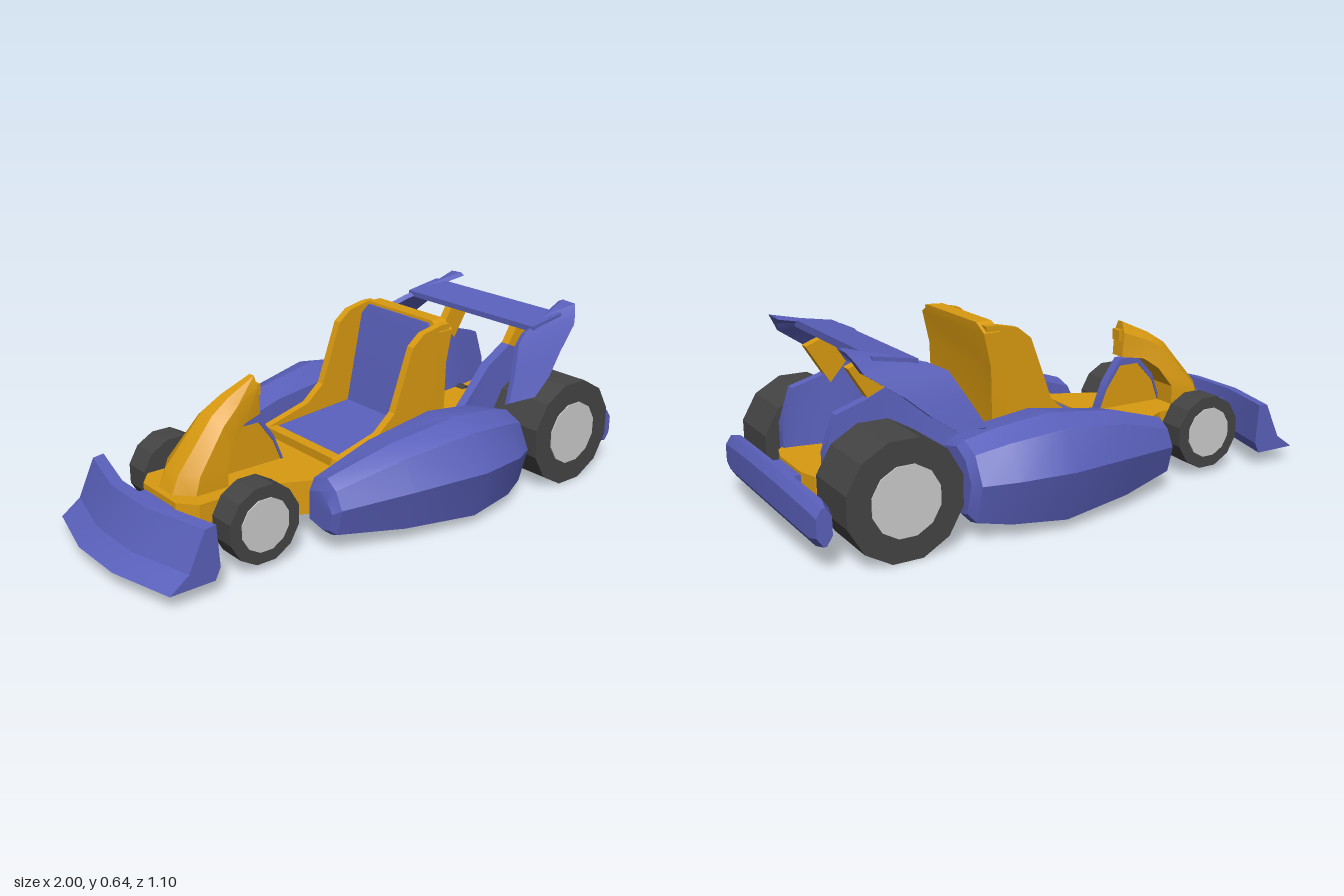
import * as THREE from 'three';
import { toCreasedNormals } from 'three/addons/utils/BufferGeometryUtils.js';

const mat = (color) => new THREE.MeshStandardMaterial({ color });
const yellow = mat(0xd99a10), purple = mat(0x5a60bb), rubber = mat(0x444444), grey = mat(0xcccccc);

// Skins a row of equal-sized closed cross-sections and caps both ends.
function loft(sections) {
  const n = sections[0].length, last = sections.length - 1, tris = [];
  const centre = (s) => [0, 1, 2].map((k) => s.reduce((a, p) => a + p[k], 0) / n);
  const c0 = centre(sections[0]), c1 = centre(sections[last]);
  for (let j = 0; j < n; j++) {
    const k = (j + 1) % n;
    for (let i = 0; i < last; i++) {
      const a = sections[i], b = sections[i + 1];
      tris.push([a[j], a[k], b[k]], [a[j], b[k], b[j]]);
    }
    tris.push([c0, sections[0][k], sections[0][j]], [c1, sections[last][j], sections[last][k]]);
  }
  // Signed volume tells whether the faces point outwards.
  const v = tris.map((t) => t.map((p) => new THREE.Vector3(...p)));
  const volume = v.reduce((s, [a, b, c]) => s + a.dot(b.clone().cross(c)), 0);
  const flat = tris.flatMap((t) => (volume < 0 ? [t[0], t[2], t[1]] : t)).flat();
  const g = new THREE.BufferGeometry();
  g.setAttribute('position', new THREE.Float32BufferAttribute(flat, 3));
  return toCreasedNormals(g, 0.45);
}

// Side outline (x, y) with thickness from z0 to z1.
function plate(points, z0, z1) {
  const shape = new THREE.Shape(points.map((p) => new THREE.Vector2(...p)));
  return new THREE.ExtrudeGeometry(shape, { depth: z1 - z0, bevelEnabled: false }).translate(0, 0, z0);
}

function box(x0, x1, y0, y1, z0, z1) {
  return new THREE.BoxGeometry(x1 - x0, y1 - y0, z1 - z0)
    .translate((x0 + x1) / 2, (y0 + y1) / 2, (z0 + z1) / 2);
}

export function createModel() {
  const kart = new THREE.Group();
  kart.name = 'kart';
  const add = (name, geometry, material) => {
    const m = new THREE.Mesh(geometry, material);
    m.name = name;
    kart.add(m);
    return m;
  };
  const flip = (sections, s) => sections.map((r) => r.map(([x, y, z]) => [x, y, z * s]));

  // Floor pan
  const half = [[-0.76, 0.1], [-0.71, 0.16], [-0.46, 0.16], [-0.26, 0.26], [0.28, 0.26],
    [0.52, 0.2], [0.84, 0.2], [0.88, 0.16], [0.9, 0.09]];
  const outline = [...half, ...half.map(([x, z]) => [x, -z]).reverse()];
  add('floorPan', plate(outline, 0, 0.12).rotateX(Math.PI / 2).translate(0, 0.22, 0), yellow);

  // Front bumper: one wedge profile, swept back towards its ends
  const wedge = [[-1, 0.06], [-0.93, 0.11], [-0.87, 0.24], [-0.83, 0.245], [-0.82, 0.1], [-0.84, 0.06]];
  add('frontBumper', loft([[-0.35, 0.06], [-0.11, 0], [0.11, 0], [0.35, 0.06]]
    .map(([z, d]) => wedge.map(([x, y]) => [x + d, y, z]))), purple);
  add('frontBumperMount', box(-0.84, -0.74, 0.12, 0.2, -0.09, 0.09), purple);

  // Rear bumper: [z, x front, x back, y low, y high]
  add('rearBumper', loft([[-0.41, 0.93, 0.98, 0.095, 0.215], [-0.36, 0.92, 0.985, 0.083, 0.225],
    [-0.15, 0.94, 1, 0.1, 0.247], [0.15, 0.94, 1, 0.1, 0.247],
    [0.36, 0.92, 0.985, 0.083, 0.225], [0.41, 0.93, 0.98, 0.095, 0.215]]
    .map(([z, a, b, lo, hi]) => [[a, lo + 0.03, z], [a + 0.02, lo, z], [b - 0.02, lo, z], [b, lo + 0.03, z],
      [b, hi - 0.03, z], [b - 0.02, hi, z], [a + 0.02, hi, z], [a, hi - 0.03, z]])), purple);
  add('rearBumperMount', box(0.88, 0.96, 0.13, 0.21, -0.09, 0.09), purple);

  // Steering fairing: [outer x, outer y, inner x, inner y, half width]
  add('steeringFairing', loft([[-0.74, 0.21, -0.56, 0.21, 0.1], [-0.71, 0.28, -0.56, 0.29, 0.1],
    [-0.57, 0.445, -0.515, 0.36, 0.075], [-0.5, 0.49, -0.46, 0.4, 0.055], [-0.39, 0.54, -0.38, 0.41, 0.03]]
    .map(([xo, yo, xi, yi, w]) => {
      const mx = xo * 0.7 + xi * 0.3, my = yo * 0.7 + yi * 0.3;
      return [[xo, yo, -w * 0.4], [mx, my, -w], [xi, yi, -w], [xi, yi, w], [mx, my, w], [xo, yo, w * 0.4]];
    })), yellow);
  add('fairingKnob', box(-0.39, -0.37, 0.47, 0.51, -0.02, 0.02), yellow);

  // Thin fin under the fairing with a coloured rim
  const arch = [[-0.57, 0.2], [-0.53, 0.31], [-0.46, 0.385], [-0.38, 0.385], [-0.32, 0.3], [-0.28, 0.2]];
  add('steeringFin', plate(arch, -0.015, 0.015), yellow);
  add('finRim', loft(arch.map(([x, y]) => [[x, y - 0.01, -0.018], [x, y + 0.015, -0.018],
    [x, y + 0.015, 0.018], [x, y - 0.01, 0.018]])), purple);

  // Seat shell: bucket sides, backrest and front lip
  const side = [[-0.22, 0.2], [-0.2, 0.25], [-0.02, 0.3], [0.05, 0.36], [0.13, 0.58], [0.18, 0.62],
    [0.26, 0.637], [0.3, 0.637], [0.28, 0.5], [0.27, 0.2]];
  for (const s of [1, -1]) {
    add('seatSide', plate(side, s > 0 ? 0.185 : -0.215, s > 0 ? 0.215 : -0.185), yellow);
  }
  add('seatBack', loft([[0.2, 0.19, 0.28, 0.215], [0.5, 0.24, 0.285, 0.218], [0.615, 0.25, 0.31, 0.218],
    [0.645, 0.255, 0.312, 0.17]]
    .map(([y, a, b, w]) => [[a, y, -w], [b, y, -w], [b, y, w], [a, y, w]])), yellow);
  add('seatLip', box(-0.2, -0.16, 0.2, 0.25, -0.19, 0.19), yellow);

  // Seat lining
  add('seatCushion', loft([[-0.165, 0.245], [0.18, 0.275]].map(([x, y]) =>
    [[x, 0.2, -0.187], [x, y, -0.187], [x, y, 0.187], [x, 0.2, 0.187]])), purple);
  add('seatBackLining', loft([[0.26, 0.165, 0.185], [0.6, 0.235, 0.185], [0.635, 0.245, 0.16]].map(([y, x, w]) =>
    [[x, y, -w], [x + 0.04, y, -w], [x + 0.04, y, w], [x, y, w]])), purple);

  for (const s of [1, -1]) {
    // Side pod: [x, y low, y high, outer z]
    add('sidePod', loft(flip([[-0.35, 0.085, 0.22, 0.375], [-0.33, 0.07, 0.262, 0.4], [-0.1, 0.05, 0.335, 0.49],
      [0.17, 0.035, 0.375, 0.55], [0.36, 0.05, 0.352, 0.52], [0.46, 0.06, 0.32, 0.465], [0.48, 0.085, 0.3, 0.43]]
      .map(([x, lo, hi, z]) => {
        const mid = lo + (hi - lo) * 0.54, w = z - 0.26;
        return [[x, lo + 0.015, 0.255], [x, hi - 0.02, 0.255], [x, hi, 0.26 + w * 0.45],
          [x, hi - 0.03, 0.26 + w * 0.78], [x, mid, z], [x, lo + 0.01, z - w * 0.18], [x, lo, z - w * 0.4]];
      }), s)), purple);

    // Rear side fairing: [x, top y, low inner z, low outer z, top inner z, top outer z]
    add('rearFairing', loft(flip([[0.28, 0.26, 0.2, 0.26, 0.22, 0.26], [0.4, 0.34, 0.16, 0.24, 0.19, 0.225],
      [0.52, 0.43, 0.13, 0.22, 0.16, 0.2], [0.63, 0.49, 0.13, 0.21, 0.155, 0.195],
      [0.72, 0.45, 0.14, 0.21, 0.16, 0.195], [0.82, 0.42, 0.16, 0.205, 0.165, 0.2], [0.86, 0.3, 0.165, 0.2, 0.165, 0.2]]
      .map(([x, y, a, b, c, d]) => [[x, 0.2, a], [x, 0.2, b], [x, y, d], [x, y, c]]), s)), purple);

    // Rear wing strut and curved end plate
    add('wingStrut', loft(flip([[0.6, 0.68, 0.44], [0.65, 0.73, 0.52], [0.69, 0.77, 0.585]]
      .map(([a, b, y]) => [[a, y, 0.155], [b, y - 0.03, 0.155], [b, y - 0.03, 0.19], [a, y, 0.19]]), s)), yellow);
    // [front x, front y, front z, back x, back y, back z]
    add('wingEndPlate', loft(flip([[0.41, 0.37, 0.41, 0.52, 0.375, 0.43], [0.46, 0.46, 0.385, 0.6, 0.43, 0.42],
      [0.51, 0.55, 0.35, 0.68, 0.5, 0.395], [0.57, 0.58, 0.325, 0.79, 0.575, 0.36],
      [0.7, 0.615, 0.3, 0.81, 0.61, 0.345], [0.825, 0.645, 0.27, 0.83, 0.64, 0.325]]
      .map(([x, y, z, u, v, w]) => [[x, y, z], [u, v, w], [u, v, w - 0.035], [x, y - 0.01, z - 0.02]]), s)), purple);

    // Wheels: [name, x, y, radius, hub radius, inner z, outer z]
    for (const [name, x, y, r, hub, z0, z1] of [['front', -0.565, 0.165, 0.135, 0.092, 0.21, 0.31],
      ['rear', 0.71, 0.2, 0.198, 0.117, 0.225, 0.45]]) {
      const disc = (radius, a, b) => toCreasedNormals(new THREE.CylinderGeometry(radius, radius, b - a, 12)
        .rotateY(Math.PI / 12).rotateX(Math.PI / 2).translate(x, y, (s * (a + b)) / 2), 0.4);
      add(name + 'Tyre', disc(r, z0, z1), rubber);
      add(name + 'Hub', disc(hub, z0 + 0.01, z1 + 0.004), grey);
      add(name + 'Axle', disc(0.03, 0.1, z0 + 0.02), rubber);
    }
  }

  // Rear wing plank
  add('rearWing', loft([[-0.33, 0.595], [0.33, 0.595]].map(([z, y]) =>
    [[0.6, y - 0.02, z], [0.6, y, z], [0.75, y + 0.025, z], [0.75, y, z]])), purple);

  return kart;
}
